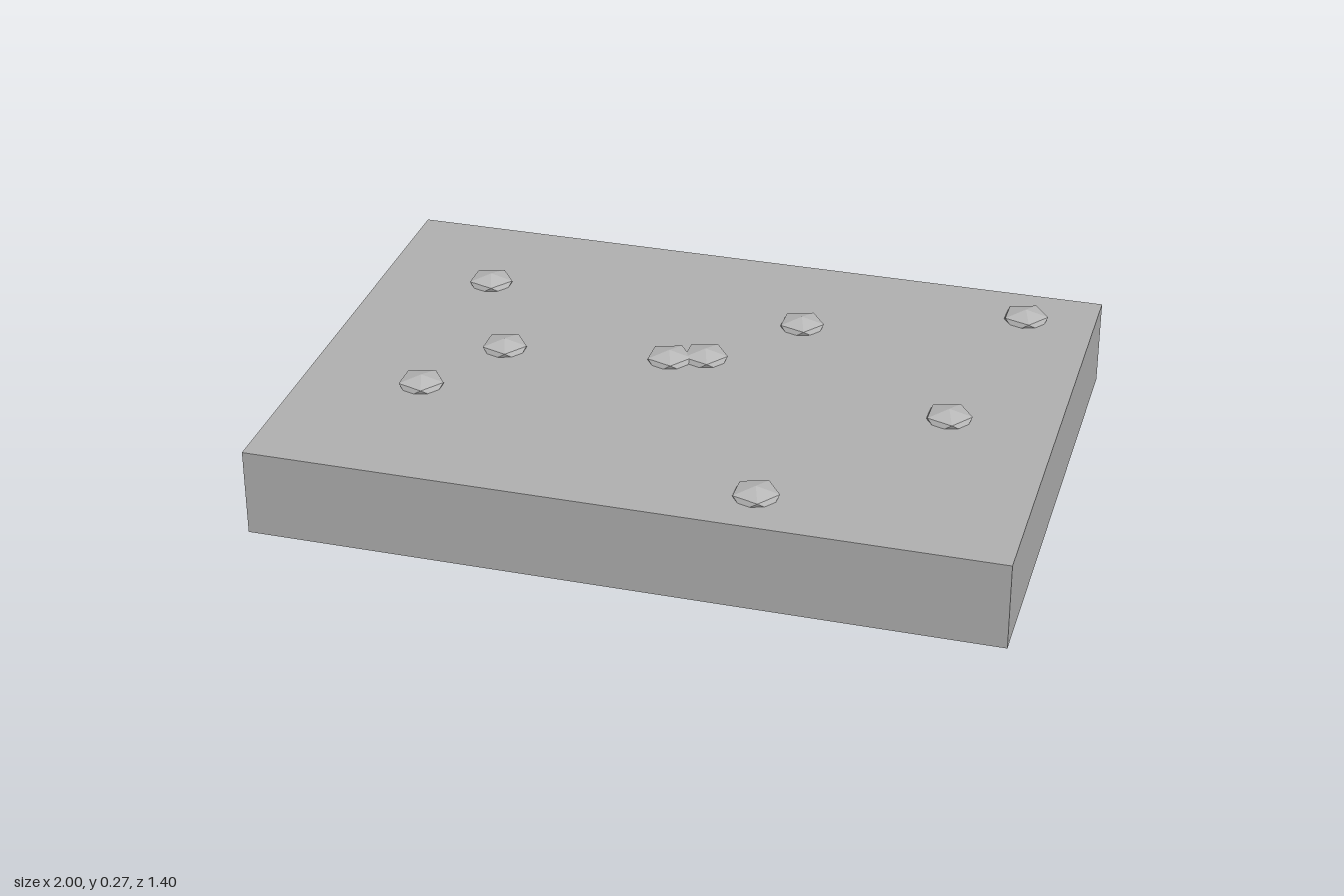
import * as THREE from 'three';

const TOP = 0.24;

// Centres of the studs on the slab's top face, as [x, z]
const STUDS = [
  [-0.69, -0.37], [-0.53, -0.015], [-0.68, 0.236],
  [-0.08, -0.072], [0.012, -0.106], [0.22, -0.353],
  [0.808, -0.56], [0.712, 0.04], [0.322, 0.55],
];

export function createModel() {
  const model = new THREE.Group();
  model.name = 'studdedSlab';

  const slabGrey = new THREE.MeshStandardMaterial({ color: 0xb0b0b0 });
  slabGrey.name = 'slabGrey';
  const studGrey = new THREE.MeshStandardMaterial({ color: 0xb8b8b8, flatShading: true });
  studGrey.name = 'studGrey';

  // Flat rectangular slab
  const slab = new THREE.Mesh(new THREE.BoxGeometry(2, TOP, 1.4), slabGrey);
  slab.name = 'slab';
  slab.position.y = TOP / 2;
  model.add(slab);

  // Flattened icosahedron, one corner up, sunk halfway into the slab
  const studGeometry = new THREE.IcosahedronGeometry(0.07, 0);
  studGeometry.rotateZ(-Math.atan(2 / (1 + Math.sqrt(5))));
  studGeometry.scale(1, 0.4, 1);

  const studs = new THREE.Group();
  studs.name = 'studs';
  STUDS.forEach(([x, z], i) => {
    const stud = new THREE.Mesh(studGeometry, studGrey);
    stud.name = `stud${i + 1}`;
    stud.position.set(x, TOP, z);
    studs.add(stud);
  });
  model.add(studs);

  return model;
}
